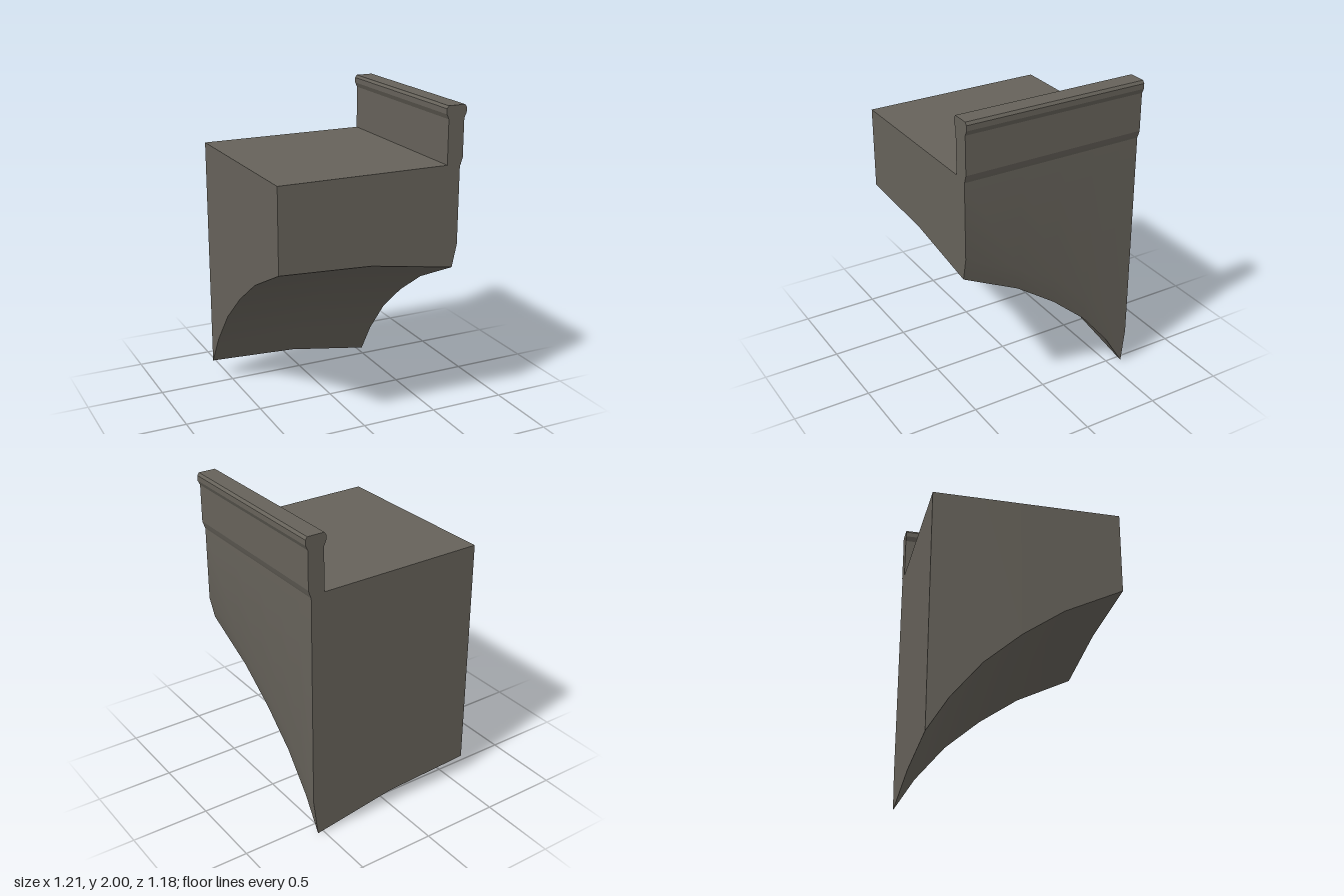
import * as THREE from 'three';
import { toCreasedNormals } from 'three/addons/utils/BufferGeometryUtils.js';

const HALF_DEPTH = 0.59;
const DECK = 1.645;

// Curved underside: [z, height of lowest edge, height of the outer chamfer]
const STATIONS = [
  [HALF_DEPTH, 1.0, 0.145], [0.22, 0.82, 0.15], [-0.04, 0.64, 0.165],
  [-0.27, 0.44, 0.187], [-0.46, 0.21, 0.22], [-HALF_DEPTH, 0, 0.25],
];

// Cross-section of the block at one station, counter-clockwise from the front
function section([, y, chamfer]) {
  return [
    [-0.605, y + 0.12], [-0.01, y + 0.09], [0.54, y], [0.571, y + chamfer],
    [0.571, 1.63], [0.577, DECK], [-0.605, DECK],
  ].map(([px, py]) => new THREE.Vector2(px, py));
}

// Joins the sections front to back and caps both ends
function loftBlock() {
  const rings = STATIONS.map(section);
  const n = rings[0].length;
  const positions = rings.flatMap((ring, i) => ring.flatMap((p) => [p.x, p.y, STATIONS[i][0]]));
  const index = [];
  for (let i = 0; i < rings.length - 1; i++) {
    for (let j = 0; j < n; j++) {
      const k = (j + 1) % n;
      const a = i * n + j, b = i * n + k, c = a + n, d = b + n;
      index.push(a, c, b, b, c, d);
    }
  }
  const last = (rings.length - 1) * n;
  for (const [a, b, c] of THREE.ShapeUtils.triangulateShape(rings[0], [])) index.push(a, b, c);
  for (const [a, b, c] of THREE.ShapeUtils.triangulateShape(rings[rings.length - 1], [])) {
    index.push(last + a, last + c, last + b);
  }
  const geometry = new THREE.BufferGeometry();
  geometry.setAttribute('position', new THREE.Float32BufferAttribute(positions, 3));
  geometry.setIndex(index);
  return toCreasedNormals(geometry, 0.3);
}

// Low wall with a bevelled coping along the outer edge
function parapetGeometry() {
  const outline = [
    [0.484, DECK], [0.577, DECK], [0.589, 1.68], [0.589, 1.92], [0.604, 1.95],
    [0.604, 1.983], [0.592, 2], [0.482, 2], [0.47, 1.983], [0.47, 1.95], [0.484, 1.92],
  ];
  const shape = new THREE.Shape(outline.map(([x, y]) => new THREE.Vector2(x, y)));
  return new THREE.ExtrudeGeometry(shape, { depth: HALF_DEPTH * 2, bevelEnabled: false })
    .translate(0, 0, -HALF_DEPTH);
}

export function createModel() {
  const stone = new THREE.MeshStandardMaterial({ color: 0x66625a });
  stone.name = 'stone';
  const model = new THREE.Group();
  model.name = 'archedWallSection';
  const parts = { archedBlock: loftBlock(), parapet: parapetGeometry() };
  for (const [name, geometry] of Object.entries(parts)) {
    const mesh = new THREE.Mesh(geometry, stone);
    mesh.name = name;
    model.add(mesh);
  }
  return model;
}
